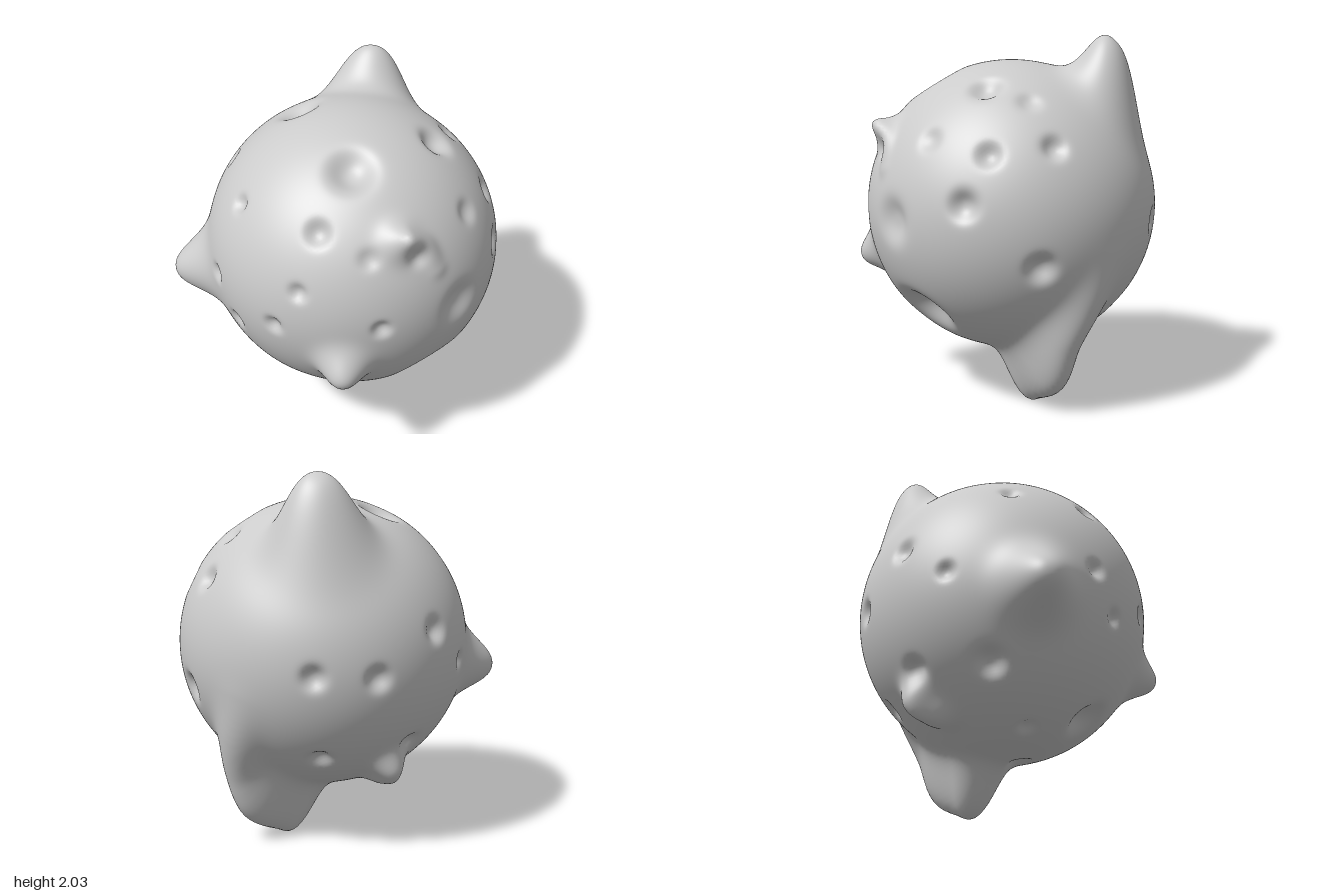
import * as THREE from 'three';
import { mergeVertices } from 'three/addons/utils/BufferGeometryUtils.js';

const R = 0.813, CENTER_Y = 1.093;

// Bumps: tip position relative to the centre, width
const bumps = [
  [-0.73, -0.19, 0.71, 0.175],
  [0.56, -0.33, 0.69, 0.12],
  [0.66, 0.455, 0.35, 0.095],
  [-0.50, -0.73, -0.12, 0.09],
  [-0.605, -0.66, -0.2, 0.09],
];

// Ridges: a curve through tips, swept as a chain of bumps
const ridges = [
  { width: 0.125, tips: [[0.08, -1.085, -0.28], [0.15, -0.96, -0.51], [0.17, -0.74, -0.62], [0.11, -0.5, -0.72], [0.03, -0.26, -0.78]] },
  { width: 0.05, tips: [[0.66, 0.45, 0.32], [0.71, 0.4, 0.23], [0.76, 0.26, 0.19]] },
];

// Small pits, all of one size: direction from the centre
const pits = [
  [-0.54, 0.475, 0.38], [-0.19, 0.45, 0.65], [-0.3, 0.01, 0.75], [-0.14, -0.21, 0.77],
  [0.17, -0.07, 0.79], [0.3, 0.17, 0.73], [0.65, -0.02, 0.49], [-0.2, -0.74, 0.27],
  [-0.8, -0.06, 0.15],
];

// Medium craters, all of one size: direction from the centre
const craters = [
  [0.31, 0.46, 0.59], [0.31, 0.39, -0.64], [0.58, 0.36, -0.45], [-0.77, 0.14, -0.13],
  [-0.63, -0.07, -0.46], [-0.41, -0.06, -0.70], [-0.33, -0.54, -0.52], [-0.63, -0.48, -0.13],
  [0.13, -0.8, 0.03],
];

// Large craters: direction from the centre, radius
const basins = [
  [0.09, -0.66, 0.48, 0.115], [-0.57, -0.51, 0.28, 0.09], [0.28, 0.69, 0.31, 0.13],
  [-0.32, 0.74, 0.08, 0.12], [0.6, -0.55, 0.04, 0.17], [0.39, 0.68, -0.22, 0.095],
  [0.71, 0.11, -0.4, 0.085], [0.42, -0.21, -0.66, 0.085],
];

// Shallow hollows: direction from the centre, radius
const hollows = [
  [0.3, 0.61, -0.45, 0.07], [0.69, 0.42, -0.12, 0.07], [0.81, -0.01, 0.05, 0.13],
  [0.55, 0.36, 0.48, 0.06], [0.73, 0.36, 0.30, 0.06],
];

// A feature moves the surface around its foot along a push vector
function bump(x, y, z, width) {
  const tip = new THREE.Vector3(x, y, z);
  const foot = tip.clone().setLength(R);
  return { foot, push: tip.sub(foot), width, power: 2.4 };
}

function dent([x, y, z], radius, depthRatio) {
  const foot = new THREE.Vector3(x, y, z).setLength(R);
  return { foot, push: foot.clone().setLength(-radius * depthRatio), width: radius * 0.8, power: 2.6 };
}

// Large upright knob on top, rising almost vertically
const knob = {
  foot: new THREE.Vector3(-0.31, 0.58, -0.48).setLength(R),
  push: new THREE.Vector3(0.01, 0.335, -0.02),
  width: 0.225,
  power: 2.6,
};

function createBody() {
  const singles = [
    knob,
    ...bumps.map((b) => bump(...b)),
    ...pits.map((c) => dent(c, 0.055, 0.58)),
    ...craters.map((c) => dent(c, 0.072, 0.58)),
    ...basins.map((c) => dent(c, c[3], 0.6)),
    ...hollows.map((c) => dent(c, c[3], 0.34)),
  ];
  const chains = ridges.map(({ width, tips }) =>
    new THREE.CatmullRomCurve3(tips.map((t) => new THREE.Vector3(...t)))
      .getPoints(60).map((p) => bump(p.x, p.y, p.z, width)));

  let geometry = new THREE.IcosahedronGeometry(R, 56);
  geometry.deleteAttribute('normal');
  geometry.deleteAttribute('uv');
  geometry = mergeVertices(geometry, 1e-5);

  // Single features add up; along a ridge only the strongest one counts
  const pos = geometry.attributes.position;
  const p = new THREE.Vector3(), moved = new THREE.Vector3();
  const weight = (f) => Math.exp(-Math.pow(p.distanceTo(f.foot) / f.width, f.power));
  for (let i = 0; i < pos.count; i++) {
    p.fromBufferAttribute(pos, i);
    moved.copy(p);
    for (const f of singles) moved.addScaledVector(f.push, weight(f));
    for (const chain of chains) {
      const lift = Math.max(...chain.map((f) => f.push.length() * weight(f)));
      moved.addScaledVector(p, lift / R);
    }
    pos.setXYZ(i, moved.x, moved.y, moved.z);
  }
  geometry.computeVertexNormals();
  return geometry;
}

export function createModel() {
  const group = new THREE.Group();
  group.name = 'crateredAsteroid';
  const body = new THREE.Mesh(createBody(), new THREE.MeshStandardMaterial({ color: 0xcccccc }));
  body.name = 'rockBody';
  body.position.y = CENTER_Y;
  group.add(body);
  return group;
}
